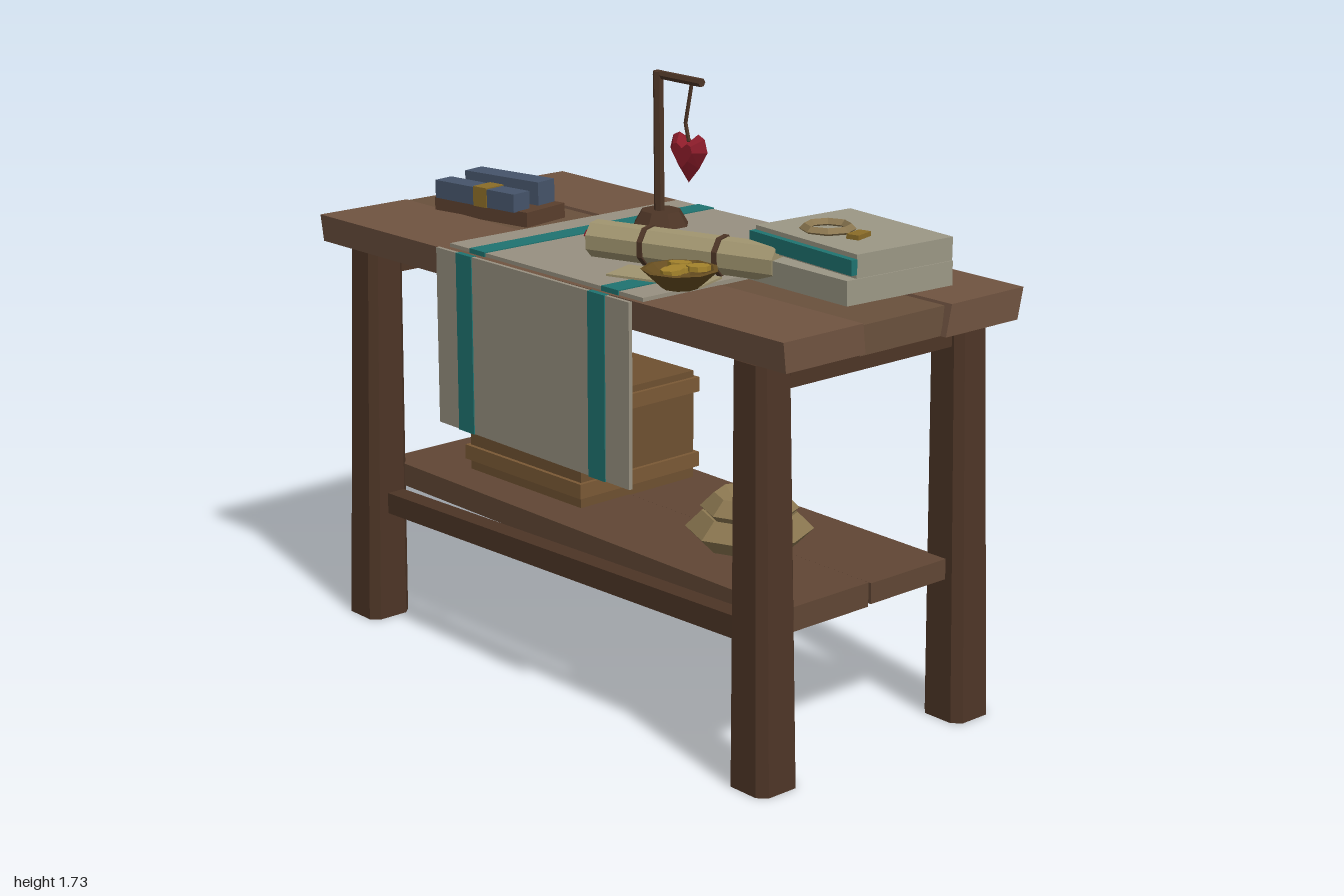
import * as THREE from 'three';

const WOOD = 0x6f5340, DARK = 0x4d3526, CRATE = 0x6e5030, BAND = 0x7a5935, CLOTH = 0x979080;
const TEAL = 0x1f7370, PAPER = 0x9b9785, PARCH = 0xa0946f, GOLD = 0x8a6c28, RED = 0x8c1c2a, BLUE = 0x46546a, ROPE = 0x8a7650;

export function createModel() {
  const model = new THREE.Group();
  const mats = {};
  const mat = (c) => (mats[c] ??= new THREE.MeshStandardMaterial({ color: c, flatShading: true, side: THREE.DoubleSide }));

  function add(name, geo, color, pos = [0, 0, 0], rot = [0, 0, 0], parent = model) {
    const m = new THREE.Mesh(geo, mat(color));
    m.name = name;
    m.position.set(...pos);
    m.rotation.set(...rot);
    parent.add(m);
    return m;
  }
  const box = (name, size, color, pos, rot, parent) => add(name, new THREE.BoxGeometry(...size), color, pos, rot, parent);

  function group(name, pos, ry = 0) {
    const g = new THREE.Group();
    g.name = name;
    g.position.set(...pos);
    g.rotation.y = ry;
    model.add(g);
    return g;
  }

  // Uneven plank: z edges given at its left and right ends, underside shifted by dz
  function plank(name, x0, x1, back, front, y0, y1, color, dz = 0) {
    const g = new THREE.BoxGeometry(1, 1, 1), p = g.attributes.position;
    for (let i = 0; i < p.count; i++) {
      const r = p.getX(i) > 0 ? 1 : 0, top = p.getY(i) > 0;
      const z = (p.getZ(i) > 0 ? front : back)[r];
      p.setXYZ(i, r ? x1 : x0, top ? y1 : y0, z + (top ? 0 : dz));
    }
    g.computeVertexNormals();
    return add(name, g, color);
  }

  // Straight bar between two points
  function bar(name, a, b, r, sides, color) {
    const A = new THREE.Vector3(...a), B = new THREE.Vector3(...b), d = B.clone().sub(A);
    const m = add(name, new THREE.CylinderGeometry(r, r, d.length(), sides), color);
    m.position.copy(A).add(B).multiplyScalar(0.5);
    m.quaternion.setFromUnitVectors(new THREE.Vector3(0, 1, 0), d.normalize());
    return m;
  }

  // Table top
  plank('backPlank', -1, 1, [-0.485, -0.45], [-0.165, -0.167], 1.18, 1.268, WOOD, 0.02);
  plank('middlePlank', -1, 0.98, [-0.155, -0.16], [0.137, 0.145], 1.18, 1.262, 0x69503c, 0.01);
  plank('frontPlank', -0.99, 0.985, [0.146, 0.15], [0.467, 0.435], 1.185, 1.268, WOOD, -0.01);

  // Chamfered legs leaning slightly outward toward the floor
  for (const sx of [-1, 1]) for (const sz of [-1, 1]) {
    const w = 0.068, c = 0.045, s = new THREE.Shape();
    [[w, c], [c, w], [-c, w], [-w, c], [-w, -c], [-c, -w], [c, -w], [w, -c]].forEach(([x, y], i) => i ? s.lineTo(x, y) : s.moveTo(x, y));
    const g = new THREE.ExtrudeGeometry(s, { depth: 1.175, bevelEnabled: false });
    g.rotateX(-Math.PI / 2);
    const p = g.attributes.position;
    for (let i = 0; i < p.count; i++) {
      const t = p.getY(i) / 1.175, k = 1.08 - 0.18 * t;
      p.setXYZ(i, p.getX(i) * k + sx * (0.87 - 0.03 * t), p.getY(i) + 0.01, p.getZ(i) * k + sz * (0.377 - 0.007 * t));
    }
    g.computeVertexNormals();
    add((sz > 0 ? 'front' : 'back') + (sx > 0 ? 'Left' : 'Right') + 'Leg', g, DARK);
  }
  // Side rails, shelf and tilted front stretcher
  for (const sx of [-1, 1]) box('sideRail', [0.07, 0.08, 0.68], DARK, [sx * 0.84, 1.14, 0]);
  plank('shelfBackPlank', -0.88, 0.88, [-0.33, -0.31], [-0.02, -0.01], 0.43, 0.49, 0x604634);
  plank('shelfFrontPlank', -0.88, 0.88, [-0.01, 0], [0.32, 0.315], 0.425, 0.495, 0x604634);
  box('frontStretcher', [1.66, 0.065, 0.06], DARK, [0, 0.408, 0.36], [0, 0, 0.03]);

  // Crate with two projecting bands
  const crate = group('crate', [-0.372, 0.49, -0.035], 0.02);
  box('crateBody', [0.51, 0.335, 0.45], CRATE, [0, 0.17, 0], [0, 0, 0], crate);
  for (const y of [0.06, 0.295]) box('crateBand', [0.535, 0.045, 0.475], BAND, [0, y, 0], [0, 0, 0], crate);

  // Coiled rope on the shelf
  for (const [R, r, y] of [[0.135, 0.047, 0.542], [0.1, 0.04, 0.603]]) {
    add('ropeCoil', new THREE.TorusGeometry(R, r, 4, 8), ROPE, [0.43, y, 0.02], [Math.PI / 2, 0, 0]);
  }

  // Table runner, flat part and hanging part with stripes
  box('runnerTop', [0.84, 0.012, 0.87], CLOTH, [0.025, 1.273, -0.005]);
  box('runnerDrop', [0.84, 0.52, 0.012], CLOTH, [0.025, 1.015, 0.474]);
  for (const x of [-0.265, 0.313]) {
    box('stripeTop', [0.07, 0.014, 0.878], TEAL, [x, 1.275, -0.005]);
    box('stripeDrop', [0.07, 0.522, 0.018], TEAL, [x, 1.015, 0.474]);
  }

  // Hanging stand
  add('standBase', new THREE.CylinderGeometry(0.06, 0.087, 0.045, 8), DARK, [-0.18, 1.3, -0.185], [0, Math.PI / 8, 0]);
  bar('standPost', [-0.18, 1.3, -0.18], [-0.18, 1.735, -0.175], 0.016, 6, DARK);
  bar('standArm', [-0.195, 1.725, -0.18], [0.008, 1.725, -0.175], 0.013, 6, DARK);
  const cord = [[-0.035, 1.72, -0.176], [-0.055, 1.6, -0.17], [-0.035, 1.55, -0.165]];
  for (let i = 0; i < 2; i++) bar('cord', cord[i], cord[i + 1], 0.006, 5, DARK);

  // Faceted hearts: outline fanned to a raised centre on both sides
  function heart(name, size, depth, pos, rot) {
    const o = [[0, 0.3], [0.25, 0.5], [0.42, 0.42], [0.5, 0.15], [0.28, -0.2], [0, -0.52], [-0.28, -0.2], [-0.5, 0.15], [-0.42, 0.42], [-0.25, 0.5]];
    const v = [];
    for (const s of [1, -1]) o.forEach((a, i) => {
      const b = o[(i + 1) % o.length];
      const P = [a, b].map(([x, y]) => [x * size, y * size, 0]);
      const Q = [a, b].map(([x, y]) => [x * size * 0.55, (y * 0.5 + 0.07) * size, s * depth]);
      const tris = [[P[0], Q[0], P[1]], [P[1], Q[0], Q[1]], [Q[0], [0, 0.07 * size, s * depth], Q[1]]];
      for (const t of tris) v.push(...(s > 0 ? t : [t[0], t[2], t[1]]).flat());
    });
    const g = new THREE.BufferGeometry();
    g.setAttribute('position', new THREE.Float32BufferAttribute(v, 3));
    // The outline runs clockwise, so the corner order above faces outward
    g.computeVertexNormals();
    add(name, g, RED, pos, rot);
  }
  heart('hangingHeart', 0.142, 0.032, [-0.035, 1.504, -0.165], [0, 0.12, 0]);
  heart('smallHeart', 0.102, 0.02, [-0.137, 1.303, 0.095], [-Math.PI / 2, 0.18, 0]);

  // Two stacked books
  const books = group('books', [0.685, 0, -0.1], -0.07);
  box('lowerBook', [0.41, 0.068, 0.375], PAPER, [0.005, 1.316, 0.005], [0, 0, 0.015], books);
  box('upperBook', [0.415, 0.065, 0.34], PAPER, [0, 1.388, -0.012], [0, 0, -0.01], books);
  box('bookSpine', [0.418, 0.042, 0.02], TEAL, [0, 1.387, 0.168], [0, 0, -0.01], books);
  add('ring', new THREE.TorusGeometry(0.064, 0.014, 4, 8), ROPE, [0.635, 1.426, -0.065], [Math.PI / 2, 0, 0]);
  box('tag', [0.038, 0.014, 0.065], GOLD, [0.748, 1.426, -0.068], [0, 0.25, 0]);

  // Tied scroll and loose note
  const a = new THREE.Vector3(0.015, 1.337, 0.235), b = new THREE.Vector3(0.565, 1.334, 0.045);
  bar('scroll', a.toArray(), b.toArray(), 0.053, 8, PARCH);
  for (const t of [0.3, 0.7]) {
    bar('scrollTie', a.clone().lerp(b, t - 0.013).toArray(), a.clone().lerp(b, t + 0.013).toArray(), 0.058, 8, DARK);
  }
  box('note', [0.29, 0.006, 0.125], PARCH, [0.325, 1.286, 0.25], [0, 0.34, 0]);

  // Bowl of coins
  const profile = [[0, 0], [0.05, 0], [0.107, 0.052], [0.095, 0.054], [0.05, 0.02], [0, 0.02]].map((q) => new THREE.Vector2(...q));
  add('bowl', new THREE.LatheGeometry(profile, 9), 0x664d20, [0.43, 1.281, 0.285]);
  [[0.39, 0.25], [0.468, 0.253], [0.43, 0.292], [0.45, 0.33]].forEach(([x, z], i) => {
    add('coin', new THREE.CylinderGeometry(0.033, 0.033, 0.014, 8), 0xa5842c, [x, 1.332 + 0.005 * (i % 2), z], [0.06 * (i - 1.5), 0, 0.05]);
  });

  // Wooden tray with two blue blocks and a clasp
  const tray = group('tray', [-0.653, 0, 0.046], 0.19);
  box('trayBoard', [0.365, 0.045, 0.175], 0x5a3f2d, [0, 1.285, 0], [0, 0, 0], tray);
  box('backBlock', [0.29, 0.072, 0.075], BLUE, [0, 1.342, -0.047], [0, 0, 0], tray);
  box('frontBlock', [0.325, 0.055, 0.068], BLUE, [-0.015, 1.333, 0.062], [0, -0.05, 0], tray);
  box('clasp', [0.055, 0.06, 0.074], GOLD, [0.01, 1.334, 0.062], [0, -0.05, 0], tray);

  return model;
}
